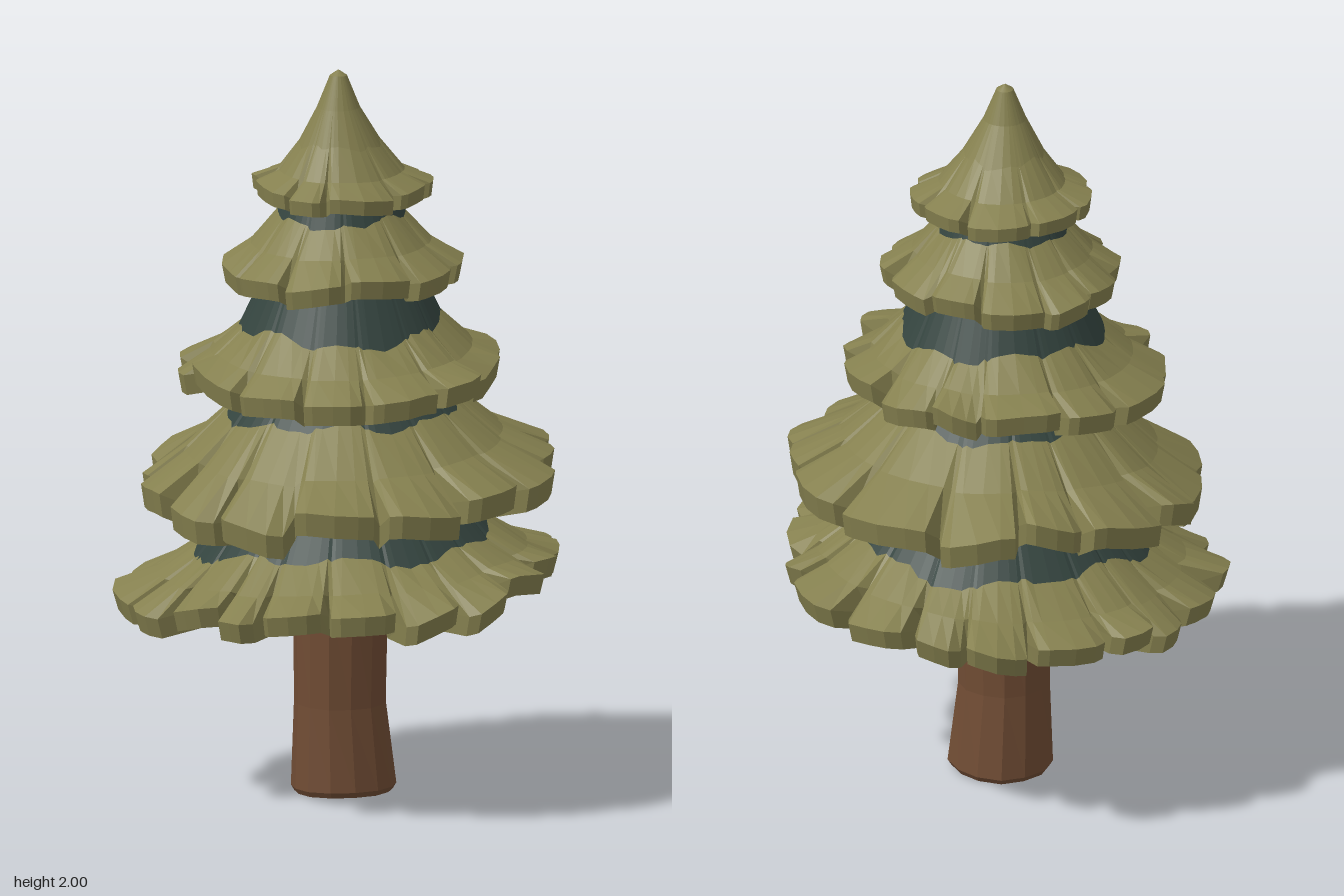
import * as THREE from 'three';

const material = (name, color) => {
  const m = new THREE.MeshStandardMaterial({ color });
  m.name = name;
  return m;
};

// Small seeded generator, returns -1..1
function seeded(seed) {
  let s = seed;
  return () => {
    s = (s * 16807) % 2147483647;
    return (s / 2147483647) * 2 - 1;
  };
}

// Faceted strip between two neighbouring loops of points (upper, lower)
function band(upper, lower) {
  const pos = [];
  const n = upper.length;
  for (let j = 0; j < n; j++) {
    const k = (j + 1) % n;
    for (const p of [upper[j], lower[j], lower[k], upper[j], lower[k], upper[k]]) pos.push(...p);
  }
  return pos;
}

function facetedMesh(name, positions, mat) {
  const g = new THREE.BufferGeometry();
  g.setAttribute('position', new THREE.Float32BufferAttribute(positions, 3));
  g.computeVertexNormals();
  const mesh = new THREE.Mesh(g, mat);
  mesh.name = name;
  return mesh;
}

// Profile rows: [radius, height] = crown, colour edge, slope, lip top, lip bottom, under edge, inside
const TIERS = [
  { name: 'lowestTier', petals: 19, centre: [0, 0], lean: [0.06, 0.03], notch: 0.25, seed: 11,
    rows: [[0.2, 0.95], [0.4, 0.715], [0.5, 0.65], [0.6, 0.605], [0.585, 0.55], [0.36, 0.61], [0.08, 0.72]] },
  { name: 'lowTier', petals: 15, centre: [-0.005, 0], lean: [0.09, -0.03], notch: 0.16, seed: 23,
    rows: [[0.17, 1.25], [0.31, 1.08], [0.43, 0.975], [0.565, 0.9], [0.555, 0.835], [0.45, 0.88], [0.1, 0.98]] },
  { name: 'middleTier', petals: 13, centre: [-0.015, 0.01], lean: [0.05, -0.04], notch: 0.15, seed: 37,
    rows: [[0.17, 1.52], [0.275, 1.305], [0.355, 1.235], [0.44, 1.195], [0.43, 1.14], [0.34, 1.18], [0.08, 1.25]] },
  { name: 'highTier', petals: 11, centre: [-0.025, 0.015], lean: [0.03, -0.02], notch: 0.15, seed: 51,
    rows: [[0.12, 1.74], [0.175, 1.605], [0.245, 1.53], [0.33, 1.48], [0.32, 1.43], [0.24, 1.46], [0.07, 1.52]] },
  { name: 'topTier', petals: 9, centre: [-0.02, 0.02], lean: [0.02, -0.02], notch: 0.16, seed: 67, peak: true,
    rows: [[0.058, 1.9], [0.11, 1.805], [0.17, 1.725], [0.24, 1.69], [0.235, 1.65], [0.16, 1.67], [0.05, 1.72]] },
];

const NOTCH = [0, 0.04, 0.26, 1, 1, 0.4, 0];   // how strongly each row follows the petals
// [place in petal, notch share]
const COLUMNS = [[-1, 1], [-0.85, 0.24], [-0.6, 0.05], [0, 0], [0.5, 0.03], [0.84, 0.22]];

function tierLoops(t) {
  const rnd = seeded(t.seed * 7919);
  for (let i = 0; i < 5; i++) rnd();
  const loops = t.rows.map(() => []);
  const step = (Math.PI * 2) / t.petals;
  const size = t.rows[3][0];
  const seams = Array.from({ length: t.petals }, (_, i) => (i + rnd() * 0.24) * step);
  for (let p = 0; p < t.petals; p++) {
    const start = seams[p];
    const end = p + 1 < t.petals ? seams[p + 1] : seams[0] + Math.PI * 2;
    const reach = 1 + rnd() * 0.05;
    const lift = rnd() * 0.04 * size;
    const roll = rnd() * 0.06 * size;
    const depth = t.notch * (1 + rnd() * 0.35);
    for (const [u, n] of COLUMNS) {
      const a = start + (end - start) * (u + 1) / 2;
      const wave = 0.06 * Math.sin(3 * a + t.seed) + 0.05 * Math.sin(8 * a) + rnd() * 0.03;
      const chip = rnd() * 0.012;
      t.rows.forEach(([r0, y0], row) => {
        let r = r0;
        let y = y0;
        if (row === 1) {             // wavy edge between the shaded and the light foliage
          r += (t.rows[0][0] - r0) * wave;
          y += (t.rows[0][1] - y0) * wave;
        }
        const k = NOTCH[row];
        r *= (1 + (reach - 1 + chip) * k) * (1 - depth * n * k);
        y += k * (lift + roll * u * (1 - n) - 0.045 * n * size);
        const bend = t.peak ? Math.max(0, 1 - row / 3) : 0;   // the peak leans off centre
        const x = t.centre[0] - 0.025 * bend + r * Math.sin(a);
        const z = t.centre[1] + 0.013 * bend + r * Math.cos(a);
        loops[row].push([x, y + t.lean[0] * x + t.lean[1] * z, z]);
      });
    }
  }
  return loops;
}

function makeTier(t, light, shade) {
  const g = new THREE.Group();
  g.name = t.name;
  const l = tierLoops(t);
  const outer = [...band(l[1], l[2]), ...band(l[2], l[3]), ...band(l[3], l[4]), ...band(l[4], l[5])];
  const crown = band(l[0], l[1]);
  if (t.peak) {
    // Rounded point
    const ring = (s, y) => l[0].map(([x, , z]) => [-0.045 + (x + 0.045) * s, y, 0.033 + (z - 0.033) * s]);
    const neck = ring(0.4, 1.985);
    const tip = ring(0.02, 2);
    outer.push(...crown, ...band(neck, l[0]), ...band(tip, neck));
  } else {
    g.add(facetedMesh('shadedCrown', crown, shade));
  }
  g.add(facetedMesh('needleSkirt', outer, light));
  g.add(facetedMesh('shadedUnderside', band(l[5], l[6]), shade));
  return g;
}

function makeTrunk(bark) {
  // [height, radius, x, z]
  const sections = [[0.75, 0.1, -0.015, 0], [0.56, 0.129, -0.012, 0], [0.25, 0.123, -0.012, -0.005],
    [0.02, 0.141, -0.002, -0.004], [0.005, 0.132, -0.002, -0.004], [0.005, 0.0005, -0.002, -0.004]];
  const sides = 13;
  const loops = sections.map(([y, r, cx, cz], s) => Array.from({ length: sides }, (_, i) => {
    const a = (i / sides) * Math.PI * 2 + 0.1;
    const rr = r * (1 + 0.02 * Math.sin(i * 2.3 + Math.min(s, 3)));
    const z = cz + rr * Math.cos(a);
    return [cx + rr * Math.sin(a), Math.max(0, y + (s > 2 ? z * 0.035 : 0)), z];
  }));
  const pos = [];
  for (let i = 0; i < loops.length - 1; i++) pos.push(...band(loops[i], loops[i + 1]));
  return facetedMesh('trunk', pos, bark);
}

export function createModel() {
  const light = material('olive needles', 0x85804f);
  const shade = material('shaded needles', 0x34443f);
  const bark = material('brown bark', 0x704c34);
  const tree = new THREE.Group();
  tree.name = 'pineTree';
  tree.add(makeTrunk(bark));
  for (const t of TIERS) tree.add(makeTier(t, light, shade));
  return tree;
}
